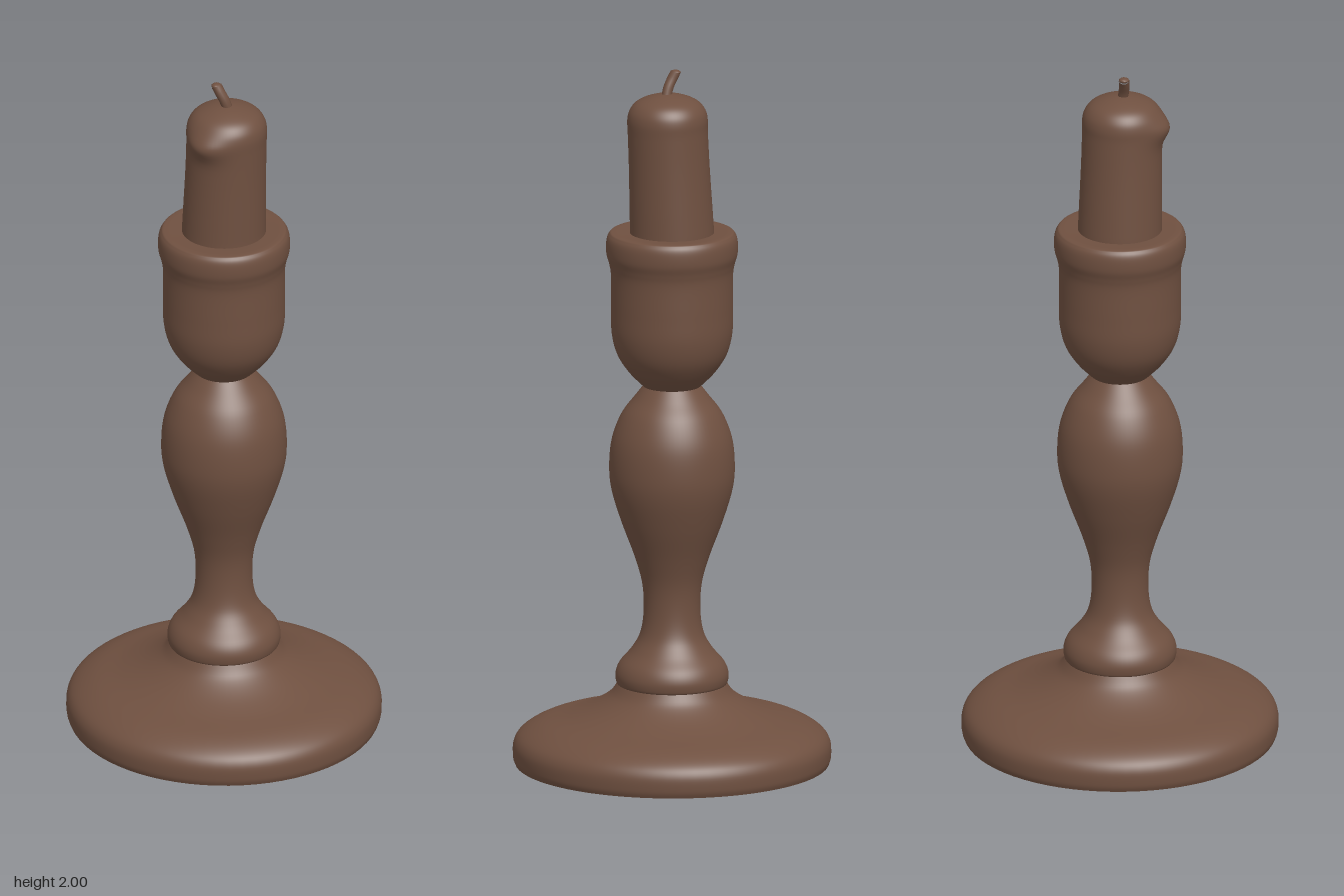
import * as THREE from 'three';
import { mergeVertices } from 'three/addons/utils/BufferGeometryUtils.js';

const SEGMENTS = 72;

// Turned shape: a smooth profile of [radius, height] points, closed by optional flat ends
function turned(points, samples, capBottom, capTop) {
  const curve = new THREE.SplineCurve(points.map(([r, y]) => new THREE.Vector2(r, y)));
  const profile = curve.getPoints(samples);
  profile.forEach((p) => { p.x = Math.max(p.x, 0); });
  if (capBottom) profile.unshift(new THREE.Vector2(0, points[0][1]), profile[0].clone());
  if (capTop) {
    const last = profile[profile.length - 1];
    profile.push(last.clone(), new THREE.Vector2(0, last.y));
  }
  return new THREE.LatheGeometry(profile, SEGMENTS);
}

export function createModel() {
  const group = new THREE.Group();
  const brown = new THREE.MeshStandardMaterial({ color: 0x6f5040 });
  brown.name = 'brown';

  const add = (name, geometry) => {
    const mesh = new THREE.Mesh(geometry, brown);
    mesh.name = name;
    group.add(mesh);
    return mesh;
  };

  // Wide flared foot
  add('base', turned([
    [0.437, 0], [0.443, 0.02], [0.441, 0.06], [0.42, 0.09], [0.37, 0.117],
    [0.29, 0.14], [0.225, 0.167], [0.175, 0.2], [0.15, 0.235],
  ], 48, true, true)).scale.z = 1.012;

  // Baluster stem with a rounded collar
  add('stem', turned([
    [0.15, 0.229], [0.157, 0.236], [0.159, 0.262], [0.147, 0.292], [0.115, 0.33],
    [0.09, 0.375], [0.08, 0.44], [0.084, 0.52], [0.106, 0.6], [0.143, 0.7],
    [0.17, 0.79], [0.177, 0.86], [0.169, 0.94], [0.142, 1.01], [0.105, 1.06],
    [0.078, 1.095],
  ], 80, true, false));

  // Cup with a rolled rim
  add('cup', turned([
    [0.072, 1.085], [0.09, 1.1], [0.125, 1.137], [0.155, 1.185], [0.17, 1.245],
    [0.172, 1.32], [0.172, 1.41], [0.177, 1.445], [0.185, 1.475], [0.185, 1.51],
    [0.178, 1.53], [0.163, 1.537], [0.1, 1.534],
  ], 72, true, true));

  // Candle: round-topped, leaning forward slightly, with a wax drip on one shoulder
  let wax = turned([
    [0.119, 1.52], [0.117, 1.6], [0.114, 1.72], [0.113, 1.82], [0.113, 1.865],
    [0.104, 1.893], [0.083, 1.914], [0.045, 1.929], [0, 1.937],
  ], 48, false, false);
  wax.deleteAttribute('uv');
  wax.deleteAttribute('normal');
  const pos = wax.attributes.position;
  const dripAngle = Math.atan2(0.075, -0.11);
  for (let i = 0; i < pos.count; i++) {
    const x = pos.getX(i), y = pos.getY(i), z = pos.getZ(i);
    const turn = Math.atan2(z, x) - dripAngle;
    const near = Math.exp(-8 * (1 - Math.cos(turn)));
    const bulge = 1 + 0.2 * near * Math.exp(-(((y - 1.845) / 0.035) ** 2));
    const lean = 0.012 * THREE.MathUtils.clamp((y - 1.54) / 0.3, 0, 1);
    pos.setXYZ(i, x * bulge + lean * 0.3, y, z * bulge + lean);
  }
  wax = mergeVertices(wax, 1e-5);
  wax.computeVertexNormals();
  add('candle', wax);

  // Bent wick with a cut tip
  const wickPath = new THREE.CatmullRomCurve3([
    new THREE.Vector3(0.008, 1.915, 0.016),
    new THREE.Vector3(-0.003, 1.95, 0.012),
    new THREE.Vector3(-0.014, 1.975, 0.004),
    new THREE.Vector3(-0.021, 1.993, -0.004),
  ]);
  add('wick', new THREE.TubeGeometry(wickPath, 12, 0.015, 10, false));
  const tip = add('wickTip', new THREE.SphereGeometry(0.015, 10, 8));
  tip.position.copy(wickPath.getPoint(1));
  tip.scale.y = 0.5;

  return group;
}
